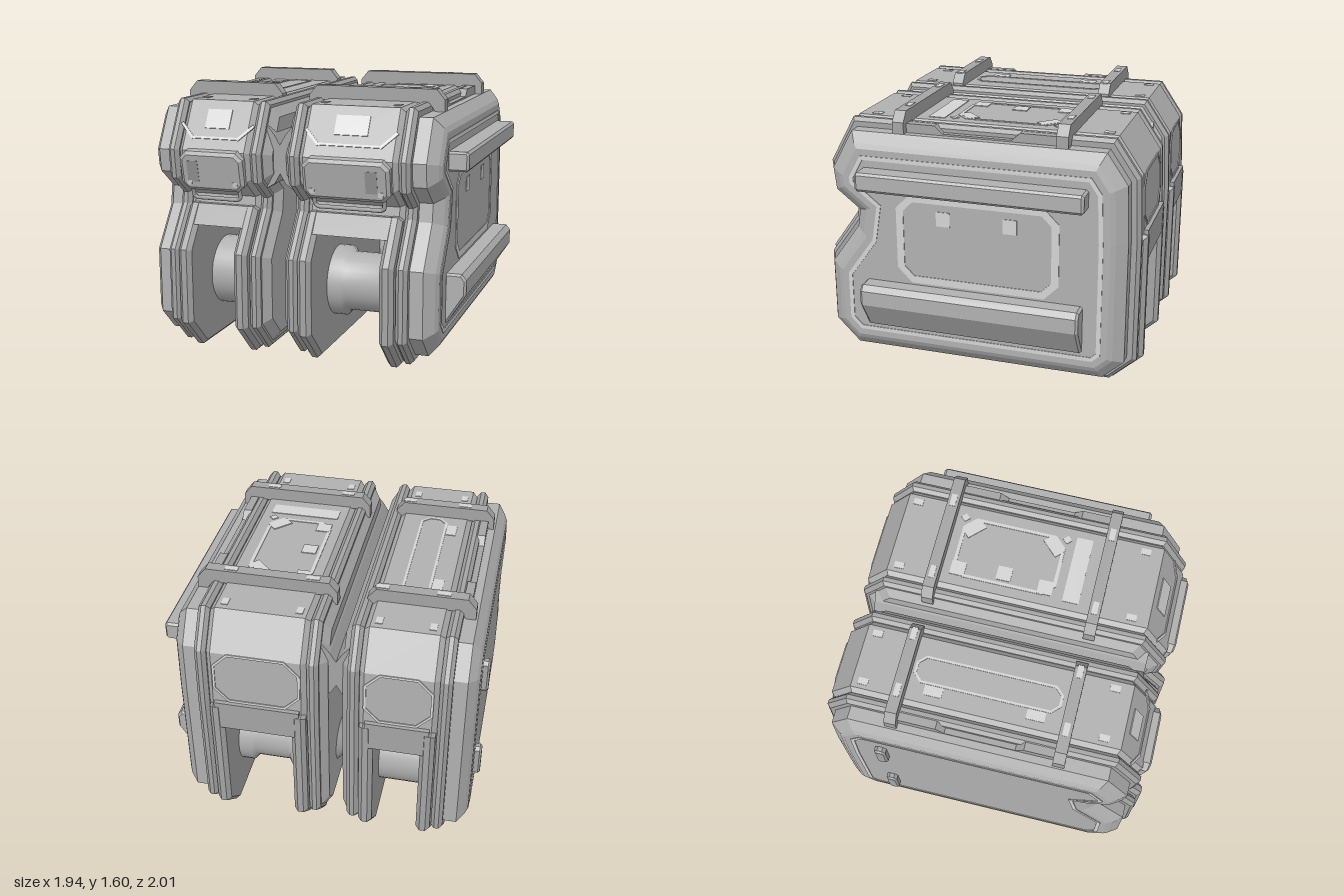
import * as THREE from 'three';

const mat = (name, color, side = THREE.FrontSide) => {
  const m = new THREE.MeshStandardMaterial({ color, side });
  m.name = name;
  return m;
};

// Side outline as [z, y], counter-clockwise, with the notch at the front
const NOTCH_UP = [[0.8, 0.89], [0.79, 0.95], [0.93, 1.06], [0.95, 1.24], [0.79, 1.53], [-0.82, 1.53], [-0.97, 1.31], [-0.985, 0.95]];
const OUTLINE = [[0.8, 0.02], [0.98, 0.2], [0.98, 0.64], ...NOTCH_UP, [-0.985, 0.17], [-0.82, 0.02]];
const CORE = [[0.865, 0.8], ...NOTCH_UP, [-0.985, 0.8]];
const LEG = [[0.8, 0.02], [0.98, 0.2], [0.98, 0.64], [0.81, 0.88], [-0.9, 0.95], [-0.985, 0.92], [-0.985, 0.17], [-0.82, 0.02]];
const FRONT_LINTEL = [[0.865, 0.8], [0.81, 0.88], [0.7, 0.88], [0.7, 0.8]];
const BACK_LINTEL = [[-0.8, 0.8], [-0.8, 0.95], [-0.985, 0.95], [-0.985, 0.8]];

// Move every edge of an outline inwards by d
function inset(pts, d) {
  const n = pts.length;
  const normal = (a, b) => new THREE.Vector2(a[1] - b[1], b[0] - a[0]).normalize();
  return pts.map((p, i) => {
    const n1 = normal(pts[(i + n - 1) % n], p), n2 = normal(p, pts[(i + 1) % n]);
    const k = d / (1 + n1.dot(n2));
    return [p[0] + (n1.x + n2.x) * k, p[1] + (n1.y + n2.y) * k];
  });
}

// Closed solid through rings [x, inset] of one outline, x ascending
function loft(outline, layers) {
  const rings = layers.map(([x, d]) => inset(outline, d).map(([z, y]) => [x, y, z]));
  const n = outline.length, pos = [];
  const tri = (a, b, c) => pos.push(...a, ...b, ...c);
  for (let k = 0; k + 1 < rings.length; k++) {
    for (let i = 0; i < n; i++) {
      const j = (i + 1) % n, a = rings[k][i], b = rings[k][j], c = rings[k + 1][j], d = rings[k + 1][i];
      tri(a, d, c);
      tri(a, c, b);
    }
  }
  const caps = [[rings[0], false], [rings[rings.length - 1], true]];
  for (const [ring, flip] of caps) {
    const flat = ring.map((p) => new THREE.Vector2(p[2], p[1]));
    for (const [a, b, c] of THREE.ShapeUtils.triangulateShape(flat, [])) {
      if (flip) tri(ring[a], ring[c], ring[b]);
      else tri(ring[a], ring[b], ring[c]);
    }
  }
  const g = new THREE.BufferGeometry();
  g.setAttribute('position', new THREE.Float32BufferAttribute(pos, 3));
  g.computeVertexNormals();
  return g;
}

const bevelled = (x0, x1, b, d = 0) => [[x0, d + b], [x0 + b, d], [x1 - b, d], [x1, d + b]];
const toShape = (pts) => new THREE.Shape(pts.map(([x, y]) => new THREE.Vector2(x, y)));
const cutRect = (w, h, c) => [[-w / 2 + c, -h / 2], [w / 2 - c, -h / 2], [w / 2, -h / 2 + c], [w / 2, h / 2 - c],
  [w / 2 - c, h / 2], [-w / 2 + c, h / 2], [-w / 2, h / 2 - c], [-w / 2, -h / 2 + c]];

// Thin flat ring between two outlines
function ringGeo(outer, inner, depth = 0.006) {
  const s = toShape(outer);
  s.holes.push(new THREE.Path(inner.map(([x, y]) => new THREE.Vector2(x, y))));
  return new THREE.ExtrudeGeometry(s, { depth, bevelEnabled: false }).translate(0, 0, -depth / 2);
}

export function createModel() {
  const model = new THREE.Group();
  const body = mat('body grey', 0xb0b0b0);
  const trim = mat('trim grey', 0xa4a4a4);
  const mark = mat('marking light grey', 0xd4d4d4);
  const dark = mat('inset dark grey', 0x969696);

  const add = (parent, name, geo, m, p = [0, 0, 0], r = [0, 0, 0]) => {
    const mesh = new THREE.Mesh(geo, m);
    mesh.name = name;
    mesh.position.set(...p);
    mesh.rotation.set(...r);
    parent.add(mesh);
    return mesh;
  };
  const box = (w, h, d) => new THREE.BoxGeometry(w, h, d);

  // side = +1 keeps the outer panel on +x, -1 on -x
  function pod(name, side, x0, x1) {
    const g = new THREE.Group();
    g.name = name;
    model.add(g);
    const w = x1 - x0, cx = (x0 + x1) / 2;
    const outer = side > 0 ? x1 : x0, inner = side > 0 ? x0 : x1;
    const layered = (base, list) => list.map(([t, d]) => [base + t * side, d]).sort((a, b) => a[0] - b[0]);

    // Main shell, legs and the lintels of the two openings
    add(g, 'upperShell', loft(CORE, bevelled(x0, x1, 0.03, 0.008)), body);
    add(g, 'rightLeg', loft(LEG, bevelled(x0 + 0.005, x0 + 0.09, 0.025, -0.02)), trim);
    add(g, 'leftLeg', loft(LEG, bevelled(x1 - 0.09, x1 - 0.005, 0.025, -0.02)), trim);
    for (const l of [FRONT_LINTEL, BACK_LINTEL]) {
      add(g, 'openingLintel', loft(l, [[x0 + 0.04, -0.018], [x1 - 0.04, -0.018]]), trim);
    }
    add(g, 'rightRib', loft(OUTLINE, bevelled(x0 - 0.07, x0, 0.022, 0.005)), trim);
    add(g, 'leftRib', loft(OUTLINE, bevelled(x1, x1 + 0.07, 0.022, 0.005)), trim);

    // Thick outer panel with its painted border, and thin inner panel
    const thick = side > 0 ? 0.22 : 0.21;
    const panel = layered(outer, [[0.06, 0.06], [0.15, 0.06], [thick - 0.015, 0.12], [thick, 0.15]]);
    add(g, 'outerPanel', loft(OUTLINE, panel), body);
    add(g, 'panelBorder', ringGeo(inset(OUTLINE, 0.19), inset(OUTLINE, 0.215)), mark,
      [outer + side * (thick + 0.001), 0, 0], [0, -Math.PI / 2, 0]);
    add(g, 'innerPanel', loft(OUTLINE, layered(inner, [[-0.11, 0.1], [-0.06, 0.03]])), body);

    // Rollers across the tunnel, each with a hub on the inner panel
    const rollers = [[0.41, 0.5, 0.215], [0.41, -0.55, 0.215], [0.76, 0, 0.17]];
    for (const [y, z, r] of rollers) {
      const waist = side > 0 ? 0.84 * r : r;
      const prof = [[r, -w / 2 + 0.06], [r, -w * 0.22], [waist, -w * 0.18], [waist, w * 0.18], [r, w * 0.22], [r, w / 2 - 0.06]];
      const lathe = new THREE.LatheGeometry(prof.map(([a, b]) => new THREE.Vector2(a, b)), 32);
      add(g, 'roller', lathe, body, [cx, y, z], [0, 0, -Math.PI / 2]);
      const hub = new THREE.CylinderGeometry(0.1, 0.155, 0.05, 24);
      add(g, 'hub', hub, trim, [inner - side * 0.12, y, z], [0, 0, side * Math.PI / 2]);
    }

    // Roof hoops and the side rails joining them
    const a = x0 - (side > 0 ? 0.1 : 0.14), b = x1 + (side > 0 ? 0.15 : 0.03);
    const hoop = toShape([[a, 1.46], [a + 0.05, 1.46], [a + 0.09, 1.515], [b - 0.09, 1.515], [b - 0.05, 1.46],
      [b, 1.46], [b, 1.54], [b - 0.05, 1.6], [a + 0.05, 1.6], [a, 1.54]]);
    for (const z of [0.46, -0.53]) {
      add(g, 'roofHoop', new THREE.ExtrudeGeometry(hoop, { depth: 0.07, bevelEnabled: false }), trim, [0, 0, z - 0.035]);
      for (const x of [x0 + 0.05, x1 - 0.05]) add(g, 'hoopMark', box(0.08, 0.006, 0.035), mark, [x, 1.6, z]);
    }
    const rail = toShape([[-0.53, 1.44], [0.46, 1.44], [0.46, 1.525], [0.25, 1.525], [0.2, 1.48], [-0.22, 1.48], [-0.27, 1.525], [-0.53, 1.525]]);
    add(g, 'roofRail', new THREE.ExtrudeGeometry(rail, { depth: 0.05, bevelEnabled: false }), trim,
      [outer + side * 0.08 + 0.025, 0, 0], [0, -Math.PI / 2, 0]);

    // Roof corner marks
    for (const x of [x0 + 0.075, x1 - 0.075]) {
      for (const z of [-0.75, 0.68]) add(g, 'roofMark', box(0.04, 0.006, 0.06), mark, [x, 1.523, z]);
    }

    // Painted front slope
    const slope = new THREE.Group();
    slope.name = 'frontSlopeMarks';
    slope.position.set(cx, 1.4, 0.855);
    slope.rotation.x = -0.504;
    g.add(slope);
    add(slope, 'slopePlate', box(w * 0.34, 0.12, 0.008), mark, [0, 0.02, 0]);
    add(slope, 'slopeLine', box(w * 0.62, 0.014, 0.008), mark, [0, -0.1, 0]);
    for (const s of [-1, 1]) {
      add(slope, 'slopeDiagonal', box(0.13, 0.018, 0.008), mark, [s * (w * 0.31 + 0.045), -0.06, 0], [0, 0, s * 0.8]);
    }
    // Back slope frame
    add(g, 'backFrame', ringGeo(cutRect(w * 0.88, 0.34, 0.09), cutRect(w * 0.88 - 0.03, 0.31, 0.08)), mark,
      [cx, 1.14, -0.972], [0.042, Math.PI, 0]);

    // Headlamp with marks and the grab handle beneath it
    const lamp = new THREE.Group();
    lamp.name = 'headlamp';
    lamp.position.set(cx, 1.127, 0.935);
    lamp.rotation.x = 0.2;
    g.add(lamp);
    const lw = w * 0.86, lampGeo = new THREE.ExtrudeGeometry(toShape(cutRect(lw - 0.03, 0.2, 0.03)),
      { depth: 0.06, bevelThickness: 0.015, bevelSize: 0.02, bevelSegments: 1 });
    add(lamp, 'lampCase', lampGeo, body, [0, 0, -0.04]);
    add(lamp, 'lampInset', box(0.07, 0.13, 0.006), dark, [side * lw * 0.3, 0, 0.034]);
    for (const x of [-1, 1]) add(lamp, 'lampMark', box(0.03, 0.03, 0.007), mark, [x * (lw / 2 - 0.05), -0.07, 0.034]);
    const hw = lw / 2 - 0.045;
    const path = new THREE.CurvePath();
    const hp = [[-hw, 1.03], [-hw, 0.965], [-hw + 0.02, 0.95], [hw - 0.02, 0.95], [hw, 0.965], [hw, 1.03]]
      .map(([x, y]) => new THREE.Vector3(cx + x, y, 0.89 + (y - 0.95) * 0.25));
    for (let i = 0; i + 1 < hp.length; i++) path.add(new THREE.LineCurve3(hp[i], hp[i + 1]));
    add(g, 'grabHandle', new THREE.TubeGeometry(path, 48, 0.014, 6), trim);
    return g;
  }

  const big = pod('leftPod', 1, 0.04, 0.63);
  const small = pod('rightPod', -1, -0.72, -0.265);

  // Wide roof markings
  const flat = [-Math.PI / 2, 0, 0];
  add(big, 'roofFrame', ringGeo(cutRect(0.4, 0.64, 0.07), cutRect(0.36, 0.6, 0.06)), mark, [0.33, 1.523, -0.12], flat);
  add(big, 'roofStripe', box(0.43, 0.006, 0.1), mark, [0.335, 1.523, 0.305]);
  for (const [x, z] of [[0.18, -0.4], [0.21, -0.12], [0.18, 0.14]]) add(big, 'roofBlock', box(0.09, 0.008, 0.09), mark, [x, 1.523, z]);
  for (const [z, s] of [[-0.37, -1], [0.13, 1]]) {
    add(big, 'roofCorner', box(0.13, 0.008, 0.07), mark, [0.46, 1.523, z], [0, s * 0.785, 0]);
    add(big, 'roofDiamond', box(0.04, 0.008, 0.04), mark, [0.52, 1.523, z + s * 0.07], [0, 0.785, 0]);
  }
  // Narrow roof markings
  add(small, 'roofFrame', ringGeo(cutRect(0.17, 0.88, 0.05), cutRect(0.14, 0.85, 0.04)), mark, [-0.49, 1.523, -0.04], flat);
  for (const z of [-0.34, 0.27]) add(small, 'roofBlock', box(0.06, 0.006, 0.11), mark, [-0.61, 1.523, z]);

  // Side markings on the wide pod
  const faceX = 0.851;
  add(big, 'sideFrame', ringGeo(cutRect(1, 0.56, 0.09), cutRect(0.91, 0.47, 0.06)), mark, [faceX, 0.85, -0.04], [0, Math.PI / 2, 0]);
  for (const z of [0.165, -0.245]) add(big, 'sideMark', box(0.006, 0.09, 0.085), mark, [faceX, 0.995, z]);

  // Side rails as tapered bars: cross-section [x, y] run along z
  const bar = (pts, z0, z1) => new THREE.ExtrudeGeometry(toShape(pts),
    { depth: z1 - z0 - 0.03, bevelThickness: 0.015, bevelSize: 0.012, bevelOffset: -0.012, bevelSegments: 1 }).translate(0, 0, z0 + 0.015);
  add(big, 'upperSideRail', bar([[0.84, 1.155], [0.955, 1.155], [0.967, 1.17], [0.967, 1.255], [0.955, 1.27], [0.84, 1.27]], -0.705, 0.67), body);
  add(big, 'lowerSideRail', bar([[0.84, 0.25], [0.86, 0.26], [0.967, 0.43], [0.967, 0.52], [0.94, 0.555], [0.84, 0.555]], -0.685, 0.67), body);

  // Hinge tabs on the narrow pod
  for (const y of [1.115, 0.445]) {
    const tab = new THREE.ExtrudeGeometry(toShape(cutRect(0.07, 0.22, 0.02)),
      { depth: 0.04, bevelThickness: 0.012, bevelSize: 0.01, bevelOffset: -0.01, bevelSegments: 1 });
    add(small, 'hingeTab', tab, trim, [-0.918, y, -0.6], [0, -Math.PI / 2, 0]);
  }

  // Spine joining both pods
  const spine = toShape([[-0.2, 1.02], [-0.15, 1.05], [-0.115, 1.11], [-0.08, 1.05], [-0.03, 1.02], [-0.03, 1.4], [-0.08, 1.34], [-0.115, 1.28], [-0.15, 1.34], [-0.2, 1.4]]);
  add(model, 'centreSpine', new THREE.ExtrudeGeometry(spine, { depth: 1.7, bevelEnabled: false }), trim, [0, 0, -0.87]);

  return model;
}
